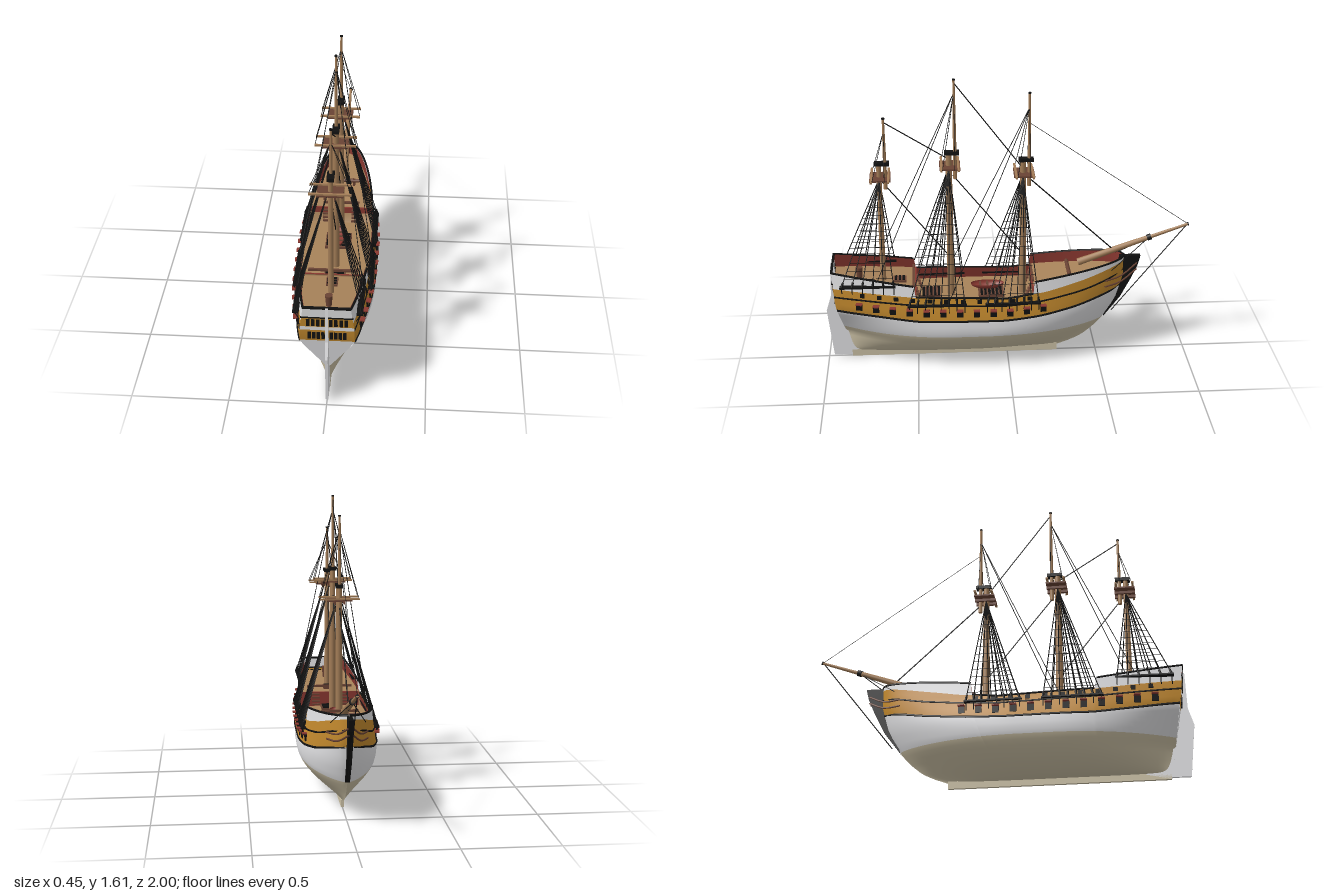
import * as THREE from 'three';

const mat = (name, color, side = THREE.FrontSide) => {
  const m = new THREE.MeshStandardMaterial({ color, side });
  m.name = name;
  return m;
};
const D = THREE.DoubleSide;
const M = {
  cream: mat('bottom cream', 0xcdc2a6, D), white: mat('hull white', 0xe4e4e6, D),
  ochre: mat('band ochre', 0xc48a2e, D), black: mat('black', 0x111111, D),
  deck: mat('deck planks', 0xa8835a, D), spar: mat('spar wood', 0xa27c56),
  brown: mat('dark wood', 0x6a4334, D), red: mat('inner red', 0x8a3830, D),
};
const V = (x, y, z) => new THREE.Vector3(x, y, z);

// Piecewise linear lookup in [[key, value], ...] with ascending keys
function lerpTable(t, k) {
  if (k <= t[0][0]) return t[0][1];
  for (let i = 1; i < t.length; i++) if (k <= t[i][0]) {
    const [a, p] = t[i - 1], [b, q] = t[i];
    return p + (q - p) * (k - a) / (b - a);
  }
  return t[t.length - 1][1];
}
const table = (...t) => (k) => lerpTable(t, k);

// Hull lines: breadths and end profiles by height
const beam = table([.03, 0], [.038, .035], [.06, .078], [.09, .118], [.12, .15], [.17, .19], [.21, .208], [.25, .215], [.3, .214], [.35, .206], [.42, .19], [.5, .181], [.6, .174]);
const sternHalf = table([.16, 0], [.35, .138], [.45, .135], [.58, .118]);
const zBow = table([.03, -.28], [.06, -.36], [.09, -.42], [.15, -.49], [.21, -.54], [.32, -.605], [.46, -.645], [.6, -.645]);
const zStern = table([0, .87], [.35, .93], [.4, .94], [.58, .955]);
const entry = table([.03, 1.2], [.2, .75], [.4, .53], [.6, .5]);
// Sheer lines by z
const wale = table([-.64, .42], [-.4, .355], [-.2, .322], [0, .307], [.5, .31], [.94, .36]);
const midWale = table([-.64, .51], [-.4, .44], [-.2, .405], [0, .388], [.5, .402], [.94, .44]);
const bandTop = table([-.64, .565], [-.4, .5], [-.2, .455], [0, .427], [.5, .445], [.94, .487]);
const BREAK_F = -.135, BREAK_Q = .505;
const foreTop = table([-.64, .585], [-.4, .552], [-.14, .517]);
const aftTop = table([.5, .508], [.94, .577]);
const railTop = (z) => z < BREAK_F ? foreTop(z) : z > BREAK_Q ? aftTop(z) : bandTop(z) + .004;
const deckY = (z) => z < BREAK_F ? .46 - (z + .14) * .11 : z > BREAK_Q ? .455 + (z - .5) * .1 : .375;

const nominal = (s) => -.64 + 1.58 * s;
const toS = (z) => (z + .64) / 1.58;
function half(s, y) {
  const u = Math.min(1, Math.max(0, s / .45)), v = Math.max(0, (s - .55) / .45);
  const b = beam(y);
  return Math.max(0, b * Math.pow(1 - (1 - u) ** 2, entry(y)) - (b - Math.min(b, sternHalf(y))) * v ** 2.2);
}
function hullPoint(s, y, inset = 0) {
  return V(Math.max(0, half(s, y) - inset), y, THREE.MathUtils.lerp(zBow(y), zStern(y), s));
}
const halfAt = (z, y) => half((z - zBow(y)) / (zStern(y) - zBow(y)), y);

// Stations along the hull, doubled at the two deck breaks
const stations = [];
for (let i = 0; i <= 60; i++) stations.push((i / 60) ** 1.25);
for (const z of [BREAK_F, BREAK_Q]) stations.push(toS(z) - .002, toS(z) + .002);
stations.sort((a, b) => a - b);

// Surface from a grid of points; bands are [rowCount, material]
function grid(cols, bands, flip) {
  const n = cols[0].length, pos = [], idx = [], g = new THREE.BufferGeometry();
  cols.forEach((c) => c.forEach((p) => pos.push(p.x, p.y, p.z)));
  let row = 0;
  bands.forEach(([rows], k) => {
    const start = idx.length;
    for (let j = row; j < row + rows; j++) for (let i = 0; i < cols.length - 1; i++) {
      const a = i * n + j, b = a + n;
      if (flip) idx.push(a, b, a + 1, b, b + 1, a + 1);
      else idx.push(a, a + 1, b, b, a + 1, b + 1);
    }
    g.addGroup(start, idx.length - start, k);
    row += rows;
  });
  g.setAttribute('position', new THREE.Float32BufferAttribute(pos, 3));
  g.setIndex(idx);
  g.computeVertexNormals();
  return new THREE.Mesh(g, bands.map((b) => b[1]));
}

export function createModel() {
  const root = new THREE.Group();
  const add = (mesh, name, parent = root) => { mesh.name = name; parent.add(mesh); return mesh; };
  const group = (name) => add(new THREE.Group(), name);
  const box = (name, m, w, h, d, x, y, z, parent) => {
    const b = add(new THREE.Mesh(new THREE.BoxGeometry(w, h, d), m), name, parent);
    b.position.set(x, y, z);
    return b;
  };
  const rod = (name, m, a, b, r0, r1 = r0, sides = 5, parent = root) => {
    const d = b.clone().sub(a);
    const c = add(new THREE.Mesh(new THREE.CylinderGeometry(r1, r0, d.length(), sides), m), name, parent);
    c.position.copy(a).addScaledVector(d, .5);
    c.quaternion.setFromUnitVectors(V(0, 1, 0), d.normalize());
    return c;
  };
  const tube = (name, m, pts, r, parent = root) =>
    add(new THREE.Mesh(new THREE.TubeGeometry(new THREE.CatmullRomCurve3(pts), pts.length * 2, r, 5), m), name, parent);

  // Hull skin, inner bulwarks, wales and rails on both sides
  const hull = group('hull');
  for (const side of [1, -1]) {
    const mirror = (p) => { p.x *= side; return p; };
    const outer = stations.map((s) => {
      const z = nominal(s), ys = [], marks = [.21, wale(z), midWale(z), bandTop(z), railTop(z)], counts = [5, 2, 2, 2];
      for (let j = 0; j <= 12; j++) ys.push(.03 + .18 * (j / 12) ** 1.8);
      counts.forEach((n, k) => { for (let j = 1; j <= n; j++) ys.push(marks[k] + (marks[k + 1] - marks[k]) * j / n); });
      return ys.map((y) => mirror(hullPoint(s, y)));
    });
    add(grid(outer, [[12, M.cream], [5, M.white], [4, M.ochre], [2, M.white]], side < 0), 'hull side', hull);
    const inner = stations.map((s) => [deckY(nominal(s)), railTop(nominal(s))].map((y) => mirror(hullPoint(s, y, .008))));
    add(grid(inner, [[1, M.red]], side > 0), 'inner bulwark', hull);
    const line = (f, z0, z1) => Array.from({ length: 25 }, (_, i) => {
      const s = toS(z0 + (z1 - z0) * i / 24);
      return mirror(hullPoint(s, f(nominal(s))));
    });
    tube('lower wale', M.black, line(wale, -.635, .94), .006, hull);
    tube('middle wale', M.black, line(midWale, -.635, .94), .005, hull);
    for (const [a, b] of [[-.64, BREAK_F - .005], [BREAK_F + .005, BREAK_Q - .005], [BREAK_Q + .005, .94]])
      tube('top rail', M.black, line(railTop, a, b), .006, hull);
  }
  const deck = stations.map((s) => {
    const p = hullPoint(s, deckY(nominal(s)), .005);
    return [V(-p.x, p.y, p.z), p];
  });
  add(grid(deck, [[1, M.deck]], true), 'deck', hull);
  for (const z of [BREAK_F, BREAK_Q])
    box('deck break bulkhead', M.red, 2 * halfAt(z, .44) - .02, .085, .008, 0, .415, z, hull);

  // Stern: coloured transom bands and two rows of windows
  const bands = [[.16, .36, M.white], [.36, .433, M.ochre], [.433, .455, M.white], [.455, .513, M.ochre], [.513, .577, M.white]];
  for (const [y0, y1, m] of bands) {
    const rows = [-1, 1].map((k) => [0, 1, 2, 3].map((j) => {
      const y = y0 + (y1 - y0) * j / 3;
      return V(k * sternHalf(y), y, zStern(y) + .001);
    }));
    add(grid(rows, [[3, m]], true), 'transom band', hull);
  }
  for (const [y, step] of [[.484, .025], [.4, .023]]) for (const side of [1, -1]) for (let i = 0; i < 4; i++)
    box('stern window', M.black, .017, .04, .008, side * (.02 + i * step), y, zStern(y) + .002, hull);
  box('stern rail', M.black, .24, .01, .012, 0, .577, .953, hull);
  box('stern moulding', M.black, .262, .006, .008, 0, .516, .951, hull);

  // Keel, stem and rudder as flat plates in the centre plane
  const plate = (name, m, pts, t) => {
    const shape = new THREE.Shape(pts.map(([z, y]) => new THREE.Vector2(-z, y)));
    const g = new THREE.ExtrudeGeometry(shape, { depth: t, bevelEnabled: false });
    g.translate(0, 0, -t / 2).rotateY(Math.PI / 2);
    add(new THREE.Mesh(g, m), name);
  };
  plate('keel', M.cream, [[.87, 0], [-.28, 0], [-.28, .04], [.87, .04]], .016);
  plate('sternpost', M.white, [[.87, .0], [.945, .4], [.9, .4], [.74, .03]], .016);
  plate('rudder', M.white, [[.872, .01], [.97, .01], [1, .29], [.972, .38], [.965, .58], [.945, .58], [.935, .38]], .014);
  plate('stem', M.black, [[-.735, .58], [-.72, .52], [-.69, .45], [-.63, .33], [-.54, .21], [-.55, .26], [-.61, .4], [-.62, .58]], .026);

  // Gun ports with raised lids, and small upper ports
  const ports = group('gun ports');
  for (const side of [1, -1]) {
    const onHull = (name, m, size, y, z, out) => {
      const turn = Math.atan2(halfAt(z + .01, y) - halfAt(z - .01, y), .02);
      box(name, m, ...size, side * (halfAt(z, y) + out), y, z, ports).rotation.y = side * turn;
    };
    for (let i = 0; i < 12; i++) {
      const z = .81 - i * .0905, y = (wale(z) + midWale(z)) / 2;
      onHull('gun port', M.black, [.009, .036, .034], y, z, .001);
      onHull('port lid', M.red, [.026, .006, .034], y + .022, z, .012);
    }
    for (let i = 0; i < 11; i++) {
      const z = .79 - i * .09;
      onHull('upper port', M.black, [.009, .022, .024], (midWale(z) + bandTop(z)) / 2 + .004, z, .001);
    }
    // Curved head rails at the bow
    for (const dy of [0, .035])
      tube('head rail', M.brown, [V(side * .105, .44 + dy, -.53), V(side * .06, .45 + dy, -.625), V(side * .012, .5 + dy, -.715)], .005);
  }

  // Masts: lower mast, cap, top platform, topmast, shrouds and ratlines
  const masts = [
    { name: 'mizzen mast', z: .68, r: .016, cap: 1.155, top: 1.078, low: 1.01, high: 1.405, y: .513, x: .168, feet: [.9, .62], n: 6 },
    { name: 'main mast', z: .31, r: .02, cap: 1.208, top: 1.135, low: 1.06, high: 1.61, y: .408, x: .203, feet: [.54, .24], n: 8 },
    { name: 'fore mast', z: -.085, r: .02, cap: 1.16, top: 1.085, low: 1.01, high: 1.53, y: .408, x: .203, feet: [.12, -.16], n: 8 },
  ];
  for (const m of masts) {
    const g = group(m.name), tz = m.z - .033;
    rod('lower mast', M.spar, V(0, .37, m.z), V(0, m.cap, m.z), m.r, m.r * .8, 14, g);
    rod('topmast', M.spar, V(0, m.low, tz), V(0, m.high, tz), .011, .006, 10, g);
    rod('topmast button', M.black, V(0, m.high - .003, tz), V(0, m.high + .004, tz), .008, .008, 8, g);
    box('mast cap', M.black, .036, .018, .08, 0, m.cap, m.z - .016, g);
    box('top platform', M.brown, .13, .008, .11, 0, m.top, m.z - .005, g);
    for (const k of [-1, 1]) {
      box('crosstree', M.spar, .21, .009, .012, 0, m.top + .008, m.z - .005 + k * .045, g);
      box('trestletree', M.brown, .01, .014, .11, k * .025, m.top - .012, m.z - .005, g);
      box('channel', M.black, .032, .008, m.feet[0] - m.feet[1] + .02, k * (m.x - .008), m.y - .004, (m.feet[0] + m.feet[1]) / 2, g);
      const head = V(k * .015, m.top - .015, m.z), feet = [];
      for (let i = 0; i < m.n; i++) {
        const f = V(k * m.x, m.y, m.feet[0] + (m.feet[1] - m.feet[0]) * i / (m.n - 1));
        feet.push(f);
        rod('shroud', M.black, f, head, .0026, .0026, 5, g);
        rod('deadeye', M.black, f, f.clone().lerp(head, .045), .006, .006, 6, g);
        rod('chain plate', M.black, f, V(k * (halfAt(f.z, m.y - .05) + .002), m.y - .05, f.z), .0025, .0025, 4, g);
      }
      for (let j = 1; j < 11; j++)
        rod('ratline', M.black, feet[0].clone().lerp(head, j * .075), feet[m.n - 1].clone().lerp(head, j * .075), .0014, .0014, 4, g);
      for (const dz of [-.03, .035])
        rod('topmast shroud', M.black, V(k * .103, m.top + .01, m.z + dz), V(0, m.high - .07, tz), .0015, .0015, 4, g);
    }
  }

  // Bowsprit in two lengths with a collar
  const heel = V(0, .545, -.39), collar = V(0, .685, -.78), tip = V(0, .76, -.995);
  rod('bowsprit', M.spar, heel, collar, .02, .013, 12);
  rod('jib boom', M.spar, collar.clone().lerp(heel, .15), tip, .011, .007, 10);
  rod('bowsprit collar', M.black, collar.clone().lerp(heel, .03), collar.clone().lerp(tip, .05), .017, .017, 10);
  rod('boom end', M.black, tip.clone().lerp(collar, .03), tip, .01, .01, 8);

  // Stays along the centre line as [y, z] pairs, and backstays to the sides
  const stays = [
    [1.385, .647, 1.165, .3, .003], [1.59, .275, 1.115, -.08, .003], [1.365, -.12, .76, -.99, .0014],
    [1.05, .665, .61, .32, .003], [1.08, .29, .63, -.065, .003], [1.06, -.11, .6, -.6, .0035], [.755, -.985, .24, -.585, .003],
  ];
  for (const [y0, z0, y1, z1, r] of stays) rod('stay', M.black, V(0, y0, z0), V(0, y1, z1), r);
  for (const k of [-1, 1]) {
    rod('main backstay', M.black, V(0, 1.54, .277), V(k * .165, .535, .71), .002);
    rod('fore backstay', M.black, V(0, 1.45, -.118), V(k * .2, .41, .33), .002);
    rod('bowsprit guy', M.black, V(0, .68, -.775), V(k * .09, .53, -.565), .0022);
  }

  // Deck fittings: gratings, boat, ladders, beams and capstan
  const grating = (w, d, y, z) => {
    box('hatch coaming', M.brown, w, .014, d, 0, y, z);
    const n = Math.round(d / .022);
    for (let i = 0; i < n; i++) box('grating bar', M.black, w - .012, .006, .012, 0, y + .009, z + (i + .5 - n / 2) * .021);
  };
  grating(.14, .14, .384, .09);
  grating(.11, .1, .384, .42);
  grating(.06, .07, .47, .59);
  const boat = add(new THREE.Mesh(new THREE.SphereGeometry(1, 20, 8, 0, Math.PI * 2, Math.PI / 2, Math.PI / 2), M.red), 'boat');
  boat.scale.set(.036, .035, .092);
  boat.position.set(0, .434, .11);
  for (const z of [.07, .11, .15]) box('boat thwart', M.brown, .06, .004, .012, 0, .428, z);
  for (const k of [-1, 1]) {
    for (let i = 0; i < 4; i++) {
      box('ladder step', M.brown, .045, .008, .014, k * .08, .39 + i * .018, .475 + i * .008);
      box('ladder step', M.brown, .045, .008, .014, k * .08, .39 + i * .018, -.1 - i * .008);
    }
    box('bitt post', M.brown, .012, .05, .012, k * .06, .5, -.335);
  }
  rod('windlass beam', M.brown, V(-.09, .513, -.335), V(.09, .513, -.335), .011, .011, 8);
  box('belfry rail', M.brown, .2, .012, .012, 0, .49, BREAK_F);
  box('quarterdeck rail', M.brown, .26, .012, .012, 0, .49, BREAK_Q + .01);
  rod('capstan', M.brown, V(0, .48, .81), V(0, .55, .81), .014, .02, 10);
  return root;
}
